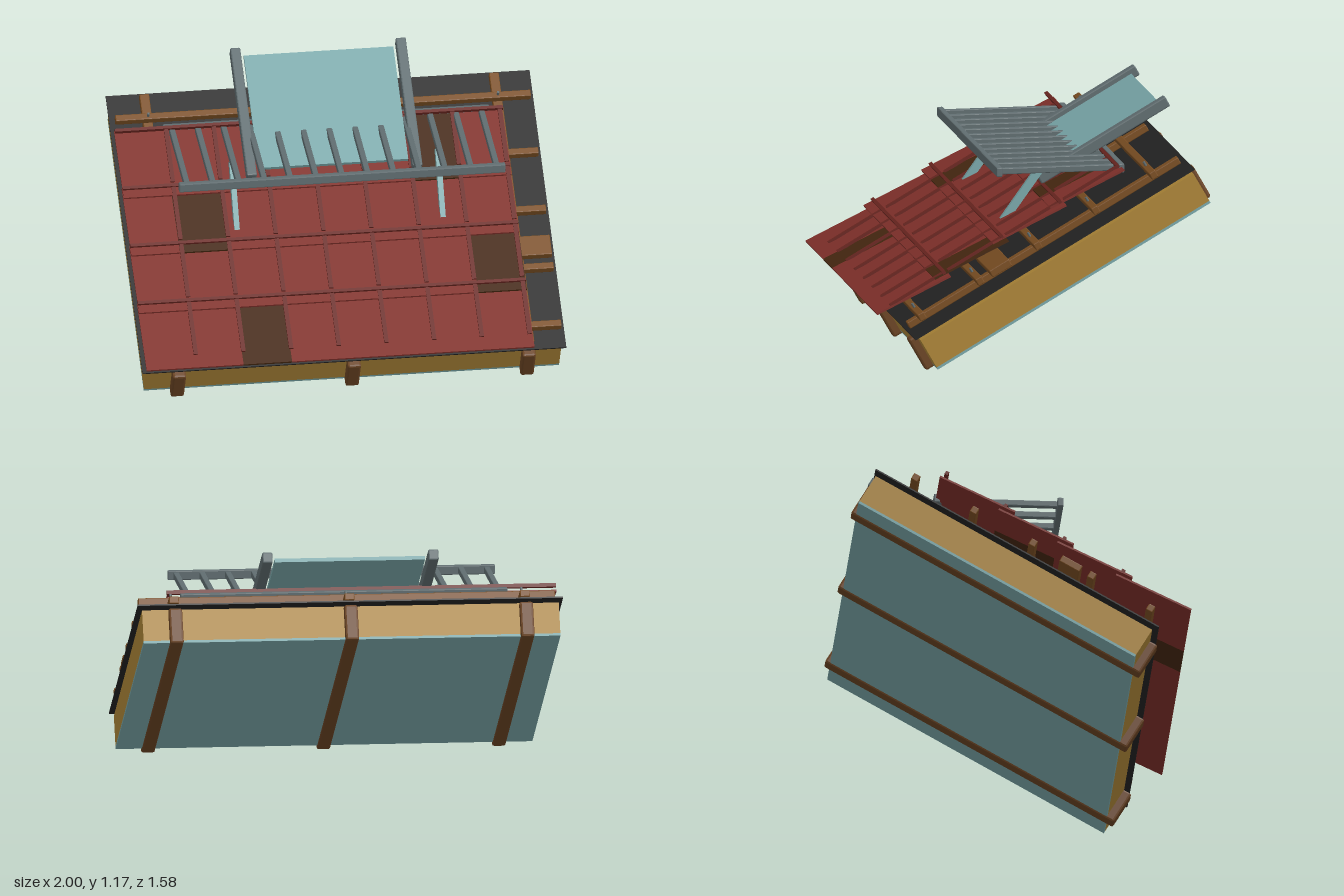
import * as THREE from 'three';
import { RoundedBoxGeometry } from 'three/addons/geometries/RoundedBoxGeometry.js';

const mat = (name, color) => {
  const m = new THREE.MeshStandardMaterial({ color });
  m.name = name;
  return m;
};

export function createModel() {
  const model = new THREE.Group();
  model.name = 'roofSection';

  const M = {
    rafter: mat('dark timber', 0x6b4423),
    batten: mat('batten timber', 0x7a4e22),
    wool: mat('insulation yellow', 0xac8537),
    teal: mat('pale teal', 0x7aa8aa),
    black: mat('membrane black', 0x232323),
    red: mat('tile red', 0x80302a),
    darkRed: mat('rib dark red', 0x6a2620),
    darkTile: mat('dark brown tile', 0x452710),
    steel: mat('steel grey', 0x606d70),
  };

  // Box by min/max-free centre and size; a chamfer cuts all its edges
  const box = (parent, name, material, size, pos, chamfer = 0) => {
    const g = chamfer
      ? new RoundedBoxGeometry(...size, 1, chamfer)
      : new THREE.BoxGeometry(...size);
    if (chamfer) g.computeVertexNormals();
    const m = new THREE.Mesh(g, material);
    m.name = name;
    m.position.set(...pos);
    parent.add(m);
    return m;
  };

  // Everything on the slope: x across, y away from the roof, z down the slope
  const slope = new THREE.Group();
  slope.name = 'slope';
  slope.rotation.x = Math.PI / 6;
  model.add(slope);

  const bearers = [-0.825, 0, 0.825];

  // Rafters, insulation, lining and membrane
  for (const x of bearers) {
    box(slope, 'rafter', M.rafter, [0.064, 0.174, 1.565], [x, 0.37, -0.295], 0.01);
    box(slope, 'counterBatten', M.batten, [0.046, 0.034, 1.488], [x, 0.511, -0.292], 0.004);
  }
  box(slope, 'insulation', M.wool, [1.96, 0.152, 1.498], [0, 0.38, -0.303]);
  box(slope, 'lining', M.teal, [1.96, 0.012, 1.498], [0, 0.298, -0.303]);
  box(slope, 'membrane', M.black, [2, 0.007, 1.534], [0, 0.477, -0.299]);

  // Tile battens with nails
  for (let i = 0; i < 5; i++) {
    const z = 0.383 - 0.318 * i;
    box(slope, 'batten', M.batten, [1.96, 0.036, 0.034], [0, 0.55, z], 0.004);
    for (const x of bearers) {
      const nail = new THREE.Mesh(new THREE.CylinderGeometry(0.006, 0.006, 0.024, 8), M.steel);
      nail.name = 'nail';
      nail.position.set(x, 0.578, z);
      slope.add(nail);
    }
  }
  box(slope, 'supportBoard', M.batten, [1.96, 0.036, 0.108], [0, 0.551, -0.049], 0.004);

  // Four overlapping rows of tiles; each row tips up at its lower edge
  const cols = 8, left = -1, tileW = 1.83 / cols;
  const darkTiles = ['0,2', '1,7', '2,1', '3,6'];
  for (let r = 0; r < 4; r++) {
    const row = new THREE.Group();
    row.name = 'tileRow';
    row.position.z = -0.318 * r;
    slope.add(row);
    for (let c = 0; c < cols; c++) {
      const dark = darkTiles.includes(`${r},${c}`);
      const tile = box(row, dark ? 'darkTile' : 'tile', dark ? M.darkTile : M.red,
        [tileW, 0.009, 0.39], [left + tileW * (c + 0.5), 0.62, 0.357]);
      tile.rotation.x = -0.0745;
      box(row, 'tileRib', M.darkRed, [0.02, 0.011, 0.29], [-0.76 + 0.225 * c, 0.636, 0.333]);
    }
    box(row, 'headRib', M.darkRed, [1.83, 0.018, 0.016], [left + 0.915, 0.638, 0.181]);
  }

  // Roof window: pane between two side rails
  box(slope, 'windowPane', M.teal, [0.706, 0.018, 0.622], [-0.002, 0.666, -0.811]);
  for (const x of [-0.393, 0.388])
    box(slope, 'windowRail', M.steel, [0.048, 0.052, 0.705], [x, 0.67, -0.804], 0.006);

  // Level walkway: two long rails joined by slats
  const walkway = new THREE.Group();
  walkway.name = 'walkway';
  walkway.position.y = 0.917;
  model.add(walkway);
  for (const z of [0.2, -0.38])
    box(walkway, 'walkwayRail', M.steel, [1.54, 0.044, 0.028], [0, 0, z], 0.005);
  for (let i = 0; i < 13; i++)
    box(walkway, 'walkwaySlat', M.steel, [0.027, 0.03, 0.556], [-0.73 + i * 0.1217, 0, -0.09], 0.004);

  // Slanting struts from the support board up to the walkway
  for (const x of [-0.488, 0.484]) {
    const strut = box(model, 'strut', M.teal, [0.025, 0.46, 0.038], [x, 0.71, 0.075]);
    strut.rotation.x = -Math.atan2(0.275, 0.38);
  }

  return model;
}
